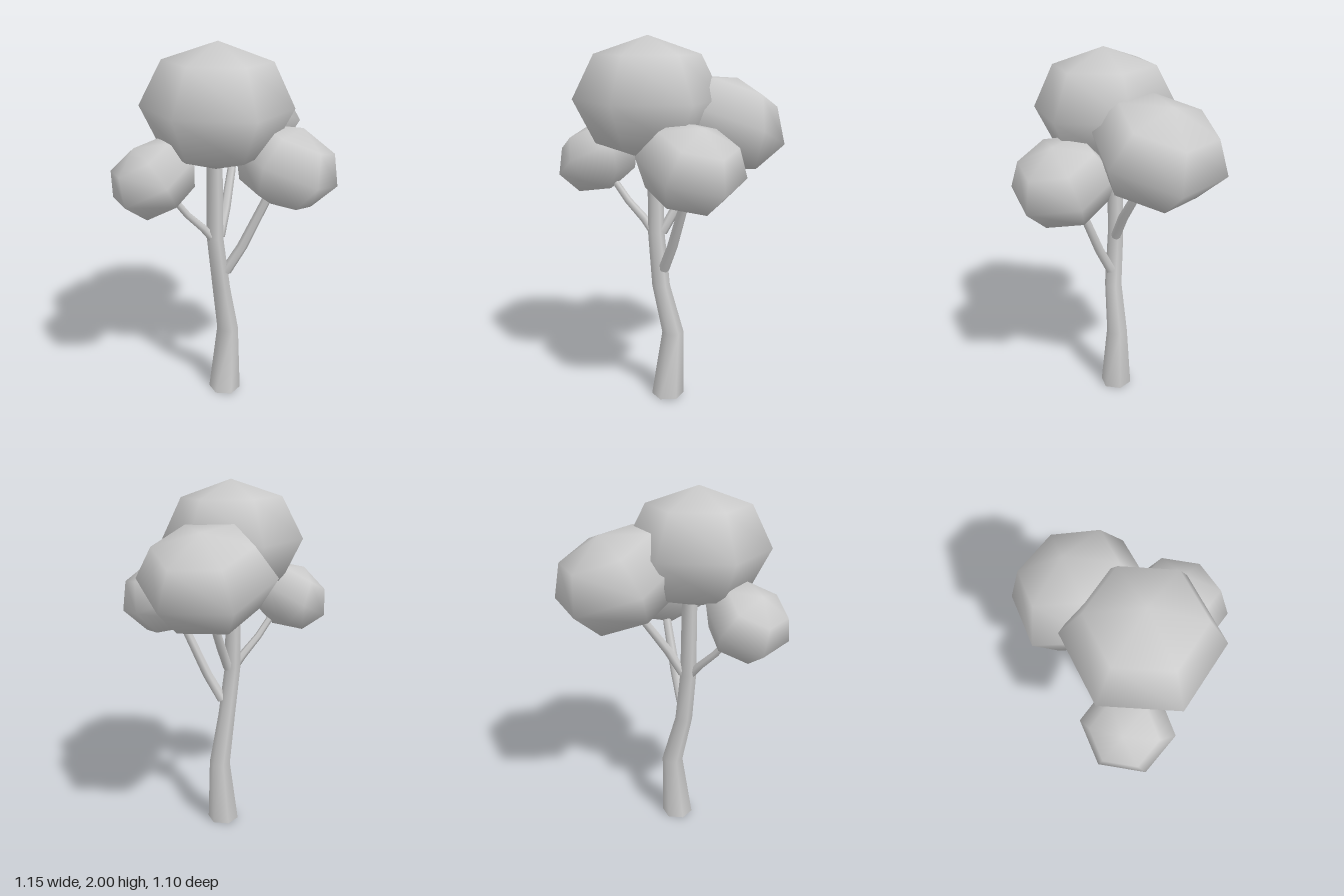
import * as THREE from 'three';
import { mergeVertices, toCreasedNormals } from 'three/addons/utils/BufferGeometryUtils.js';

const UP = new THREE.Vector3(0, 1, 0);
const material = new THREE.MeshStandardMaterial({ color: 0xcccccc });

// Tapered six-sided limb through stations [x, y, z, radius], closed at both ends
function limb(name, stations, level) {
  const n = stations.length - 1;
  const points = stations.map(([x, y, z]) => new THREE.Vector3(x, y, z));
  const turns = points.map((p, i) => {
    const along = points[Math.min(i + 1, n)].clone().sub(points[Math.max(i - 1, 0)]).normalize();
    return new THREE.Quaternion().setFromUnitVectors(UP, level ? UP : along);
  });
  let geo = new THREE.CylinderGeometry(1, 1, 1, 6, n);
  geo.rotateY(0.26);
  const pos = geo.attributes.position;
  const v = new THREE.Vector3();
  for (let i = 0; i < pos.count; i++) {
    v.fromBufferAttribute(pos, i);
    const k = Math.round((v.y + 0.5) * n);
    v.y = 0;
    v.multiplyScalar(stations[k][3]).applyQuaternion(turns[k]).add(points[k]);
    pos.setXYZ(i, v.x, v.y, v.z);
  }
  // Smooth around the limb, sharp at the end caps
  geo.deleteAttribute('normal');
  geo.deleteAttribute('uv');
  geo = toCreasedNormals(mergeVertices(geo, 1e-5), 1.25);
  const mesh = new THREE.Mesh(geo, material);
  mesh.name = name;
  return mesh;
}

// Flattened six-sided foliage ball; lean is the direction of its short axis
function foliage(name, center, radius, halfHeight, lean, yaw) {
  const mesh = new THREE.Mesh(new THREE.SphereGeometry(1, 6, 4), material);
  mesh.name = name;
  mesh.scale.set(radius, halfHeight, radius);
  mesh.position.set(...center);
  const spin = new THREE.Quaternion().setFromAxisAngle(UP, THREE.MathUtils.degToRad(-yaw));
  mesh.quaternion.setFromUnitVectors(UP, new THREE.Vector3(...lean).normalize()).multiply(spin);
  return mesh;
}

export function createModel() {
  const tree = new THREE.Group();
  tree.name = 'tree';

  // Trunk
  tree.add(limb('trunk', [
    [0.015, 0, 0.088, 0.09],
    [0.036, 0.38, 0.066, 0.06],
    [-0.01, 0.66, 0.112, 0.049],
    [-0.045, 0.96, 0.112, 0.045],
    [-0.048, 1.5, 0.112, 0.041],
  ], true));

  // Branches
  tree.add(limb('leftBranch', [
    [0.015, 0.76, 0.115, 0.03],
    [0.1, 0.91, 0.137, 0.028],
    [0.22, 1.18, 0.17, 0.024],
    [0.28, 1.32, 0.2, 0.02],
  ]));
  tree.add(limb('rightBranch', [
    [-0.06, 0.96, 0.12, 0.024],
    [-0.11, 1.025, 0.135, 0.023],
    [-0.2, 1.12, 0.17, 0.02],
    [-0.28, 1.23, 0.2, 0.018],
    [-0.34, 1.32, 0.22, 0.016],
  ]));
  tree.add(limb('backBranch', [
    [-0.015, 0.96, 0.095, 0.027],
    [0.03, 1.1, 0.025, 0.027],
    [0.085, 1.28, -0.09, 0.023],
    [0.11, 1.42, -0.16, 0.02],
  ]));

  // Foliage
  tree.add(foliage('topFoliage', [-0.045, 1.68, 0.165], 0.39, 0.32, [0.015, 1, 0.01], 12));
  tree.add(foliage('backFoliage', [0.13, 1.54, -0.23], 0.365, 0.255, [0.13, 1, -0.37], 15));
  tree.add(foliage('leftFoliage', [0.31, 1.37, 0.22], 0.285, 0.215, [0.39, 1, 0.05], 12));
  tree.add(foliage('rightFoliage', [-0.38, 1.345, 0.225], 0.237, 0.185, [-0.56, 1, 0.05], 18));

  return tree;
}
